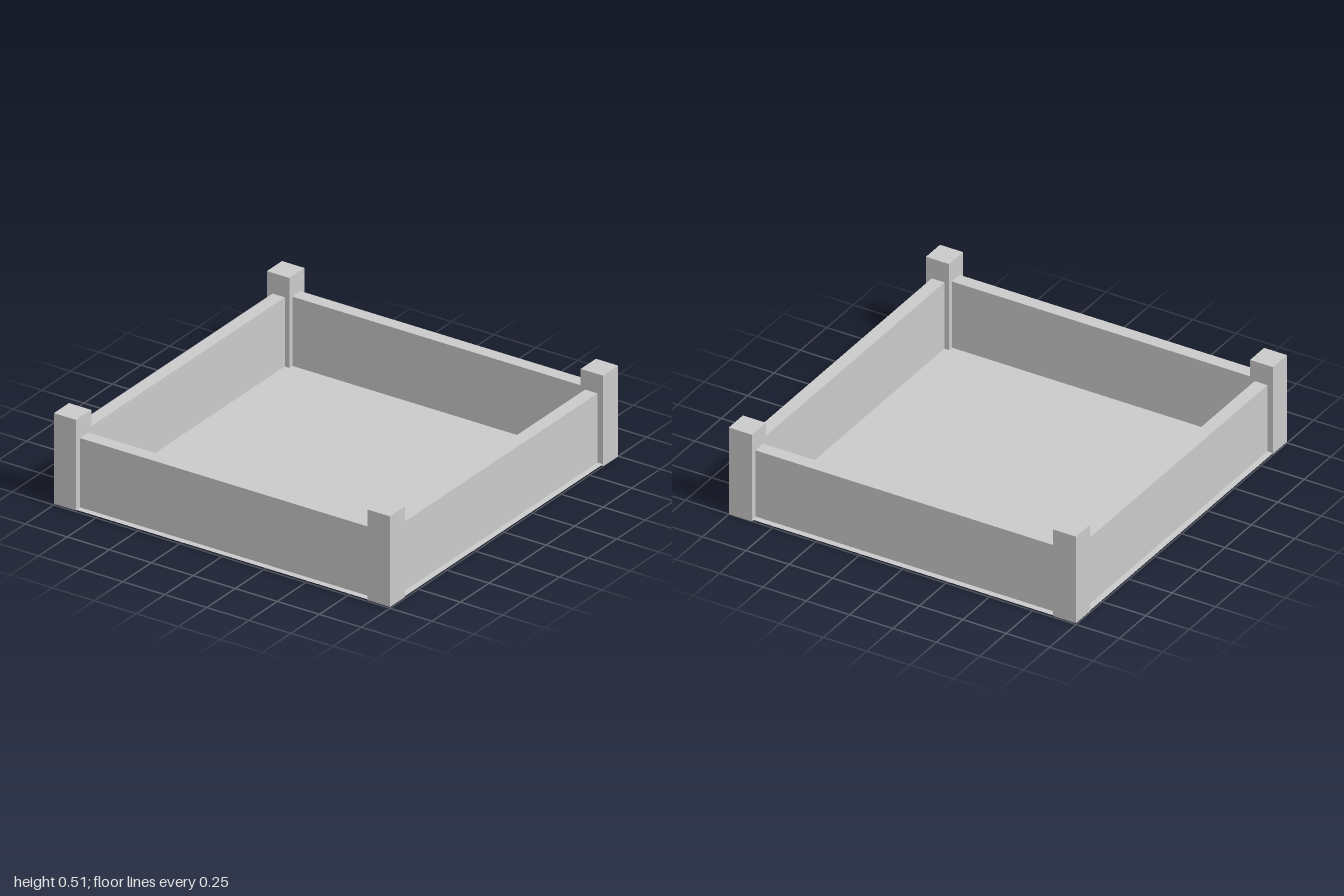
import * as THREE from 'three';

export function createModel() {
  const group = new THREE.Group();
  group.name = 'walledTray';
  const material = new THREE.MeshStandardMaterial({ color: 0xcccccc, flatShading: true });
  const sheet = material.clone();
  sheet.side = THREE.DoubleSide;

  const box = (name, w, h, d, x, y, z) => {
    const mesh = new THREE.Mesh(new THREE.BoxGeometry(w, h, d), material);
    mesh.name = name;
    mesh.position.set(x, y, z);
    group.add(mesh);
  };

  // Thin floor sheet
  const base = 0.014;
  const floor = new THREE.Mesh(new THREE.PlaneGeometry(2, 2).rotateX(-Math.PI / 2), sheet);
  floor.name = 'floor';
  floor.position.y = base;
  group.add(floor);

  // Square corner posts; the back left one sits slightly lower
  const post = 0.133, postHeight = 0.5;
  for (const sx of [-1, 1]) {
    for (const sz of [-1, 1]) {
      const bottom = sx > 0 && sz < 0 ? 0.003 : 0.01;
      const name = (sz > 0 ? 'front' : 'back') + (sx > 0 ? 'Left' : 'Right') + 'Post';
      box(name, post, postHeight, post,
        sx * (1 - post / 2), bottom + postHeight / 2, sz * (1 - post / 2));
    }
  }

  // Four low walls, set in from the outer faces of the posts
  const length = 2 - 2 * post, wallHeight = 0.382, thick = 0.073, offset = 0.93;
  const y = base + wallHeight / 2;
  for (const s of [-1, 1]) {
    box(s > 0 ? 'frontWall' : 'backWall', length, wallHeight, thick, 0, y, s * offset);
    box(s > 0 ? 'leftWall' : 'rightWall', thick, wallHeight, length, s * offset, y, 0);
  }
  return group;
}
